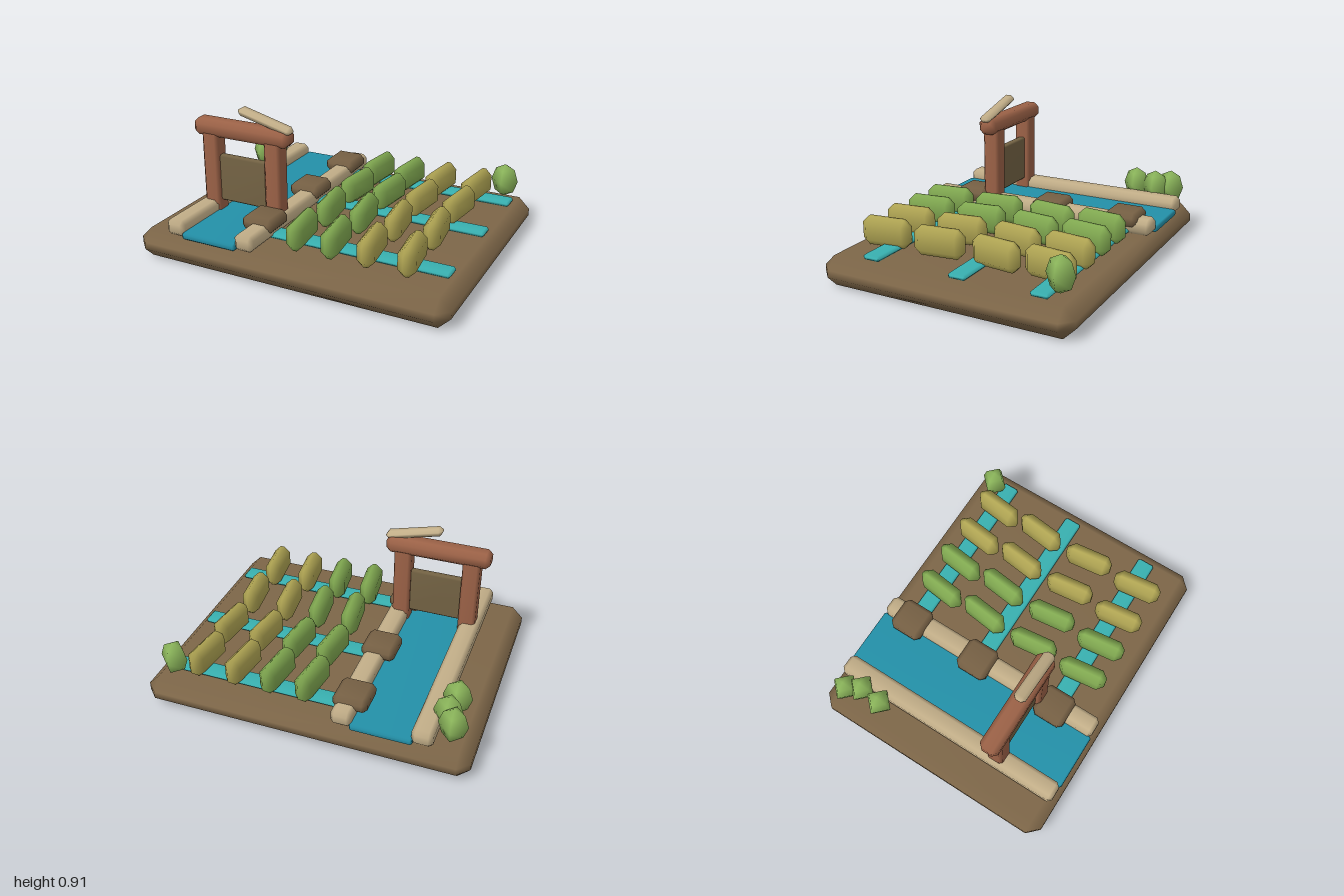
import * as THREE from 'three';
import { mergeVertices } from 'three/addons/utils/BufferGeometryUtils.js';
import { ConvexGeometry } from 'three/addons/geometries/ConvexGeometry.js';

const colours = {
  soil: 0x7d6648, timberBlock: 0x766044, panelWood: 0x746344, redWood: 0x9c6247, stone: 0xc2ae88,
  canalWater: 0x2390a8, channelWater: 0x38b0b0, greenCrop: 0x80a850, ripeCrop: 0xaea352, bush: 0x8ab45a,
};

// Box with every edge cut at 45 degrees and softly shaded
function chamferBox(w, h, d, c) {
  const [x, y, z] = [w / 2, h / 2, d / 2];
  const points = [];
  for (const sx of [-1, 1]) for (const sy of [-1, 1]) for (const sz of [-1, 1]) {
    points.push(
      new THREE.Vector3(sx * x, sy * (y - c), sz * (z - c)),
      new THREE.Vector3(sx * (x - c), sy * y, sz * (z - c)),
      new THREE.Vector3(sx * (x - c), sy * (y - c), sz * z),
    );
  }
  const hull = new ConvexGeometry(points);
  hull.deleteAttribute('normal');
  const geometry = mergeVertices(hull, 1e-4);
  geometry.computeVertexNormals();
  return geometry;
}

export function createModel() {
  const model = new THREE.Group();
  model.name = 'irrigatedField';
  const mats = {};
  for (const [name, color] of Object.entries(colours)) {
    mats[name] = new THREE.MeshStandardMaterial({ color });
    mats[name].name = name;
  }

  const add = (name, geometry, mat, x, y, z) => {
    const mesh = new THREE.Mesh(geometry, mats[mat]);
    mesh.name = name;
    mesh.position.set(x, y, z);
    model.add(mesh);
    return mesh;
  };
  // Chamfered block given by its ranges on each axis
  const block = (name, mat, [x0, x1], [y0, y1], [z0, z1], c) =>
    add(name, chamferBox(x1 - x0, y1 - y0, z1 - z0, c), mat, (x0 + x1) / 2, (y0 + y1) / 2, (z0 + z1) / 2);

  // Ground slab
  block('ground', 'soil', [-1, 1], [0, 0.185], [-0.8, 0.8], 0.07);

  // Main canal between two stone banks
  block('canalWater', 'canalWater', [-0.67, -0.305], [0.18, 0.224], [-0.78, 0.775], 0.01);
  block('rightBank', 'stone', [-0.786, -0.66], [0.185, 0.287], [-0.775, 0.77], 0.025);
  block('leftBank', 'stone', [-0.314, -0.188], [0.185, 0.287], [-0.775, 0.77], 0.025);

  // Side channels, each with an outlet block on the bank
  for (const z of [-0.582, -0.084, 0.483]) {
    block('sideChannel', 'channelWater', [-0.25, 0.915], [0.187, 0.219], [z - 0.056, z + 0.056], 0.012);
    block('outletBlock', 'timberBlock', [-0.375, -0.167], [0.226, 0.32], [z - 0.107, z + 0.107], 0.028);
  }

  // Sluice gate: posts, beam, panel and lever
  for (const x of [-0.703, -0.268]) {
    block('gatePost', 'redWood', [x - 0.055, x + 0.055], [0.187, 0.73], [0.295, 0.405], 0.018);
  }
  block('gateBeam', 'redWood', [-0.815, -0.157], [0.7, 0.805], [0.29, 0.41], 0.028);
  block('gatePanel', 'panelWood', [-0.67, -0.3], [0.285, 0.582], [0.325, 0.375], 0.01);
  const lever = add('gateLever', chamferBox(0.365, 0.052, 0.075, 0.02), 'stone', -0.324, 0.843, 0.357);
  lever.rotation.z = -0.25;

  // Crop rows: green near the canal, ripe farther out
  const crop = chamferBox(0.105, 0.176, 0.31, 0.04);
  [[-0.54, -1], [-0.21, -1], [0.16, 1], [0.523, 1]].forEach(([z, turn]) => {
    [0.005, 0.226, 0.45, 0.692].forEach((x, column) => {
      const plant = add('cropHedge', crop, column < 2 ? 'greenCrop' : 'ripeCrop', x, 0.287, z);
      plant.rotation.y = turn * 0.12;
    });
  });

  // Faceted bushes at the back corners
  const bush = new THREE.SphereGeometry(1, 4, 4);
  bush.scale(0.087, 0.108, 0.087);
  for (const [x, z] of [[-0.87, -0.67], [-0.82, -0.58], [-0.837, -0.44], [0.84, -0.67]]) {
    add('bush', bush, 'bush', x, 0.313, z);
  }
  return model;
}
